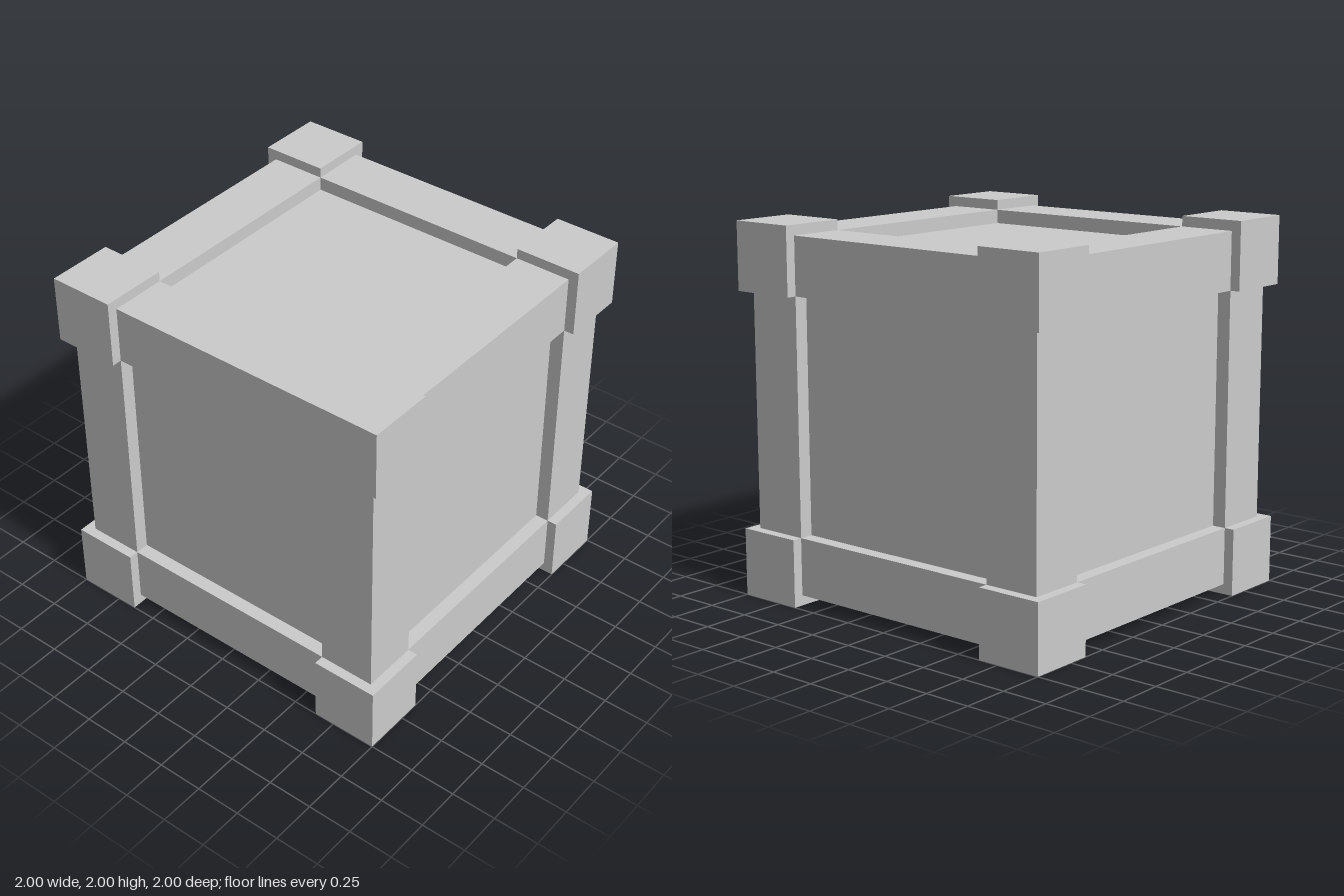
import * as THREE from 'three';

export function createModel() {
  const crate = new THREE.Group();
  crate.name = 'crate';
  const material = new THREE.MeshStandardMaterial({ color: 0xcccccc, flatShading: true });

  const inner = 0.635; // inner edge of beams and corner blocks
  const beamOuter = 0.945; // outer face of beams
  const panelFace = 0.87; // recessed panel faces
  const block = 1 - inner;
  const beam = beamOuter - inner;
  const beamMid = (beamOuter + inner) / 2;
  const blockMid = (1 + inner) / 2;

  function addBox(name, size, position) {
    const mesh = new THREE.Mesh(new THREE.BoxGeometry(...size), material);
    mesh.name = name;
    mesh.position.set(position[0], position[1] + 1, position[2]);
    crate.add(mesh);
  }

  // Inner body forming the six recessed panels
  addBox('panelBody', [panelFace * 2, panelFace * 2, panelFace * 2], [0, 0, 0]);

  for (const a of [-1, 1]) {
    for (const b of [-1, 1]) {
      // Edge beams along each axis
      addBox('widthBeam', [inner * 2, beam, beam], [0, a * beamMid, b * beamMid]);
      addBox('cornerPost', [beam, inner * 2, beam], [a * beamMid, 0, b * beamMid]);
      addBox('depthBeam', [beam, beam, inner * 2], [a * beamMid, b * beamMid, 0]);

      // Corner blocks
      for (const c of [-1, 1]) {
        addBox('cornerBlock', [block, block, block], [a * blockMid, b * blockMid, c * blockMid]);
      }
    }
  }
  return crate;
}
